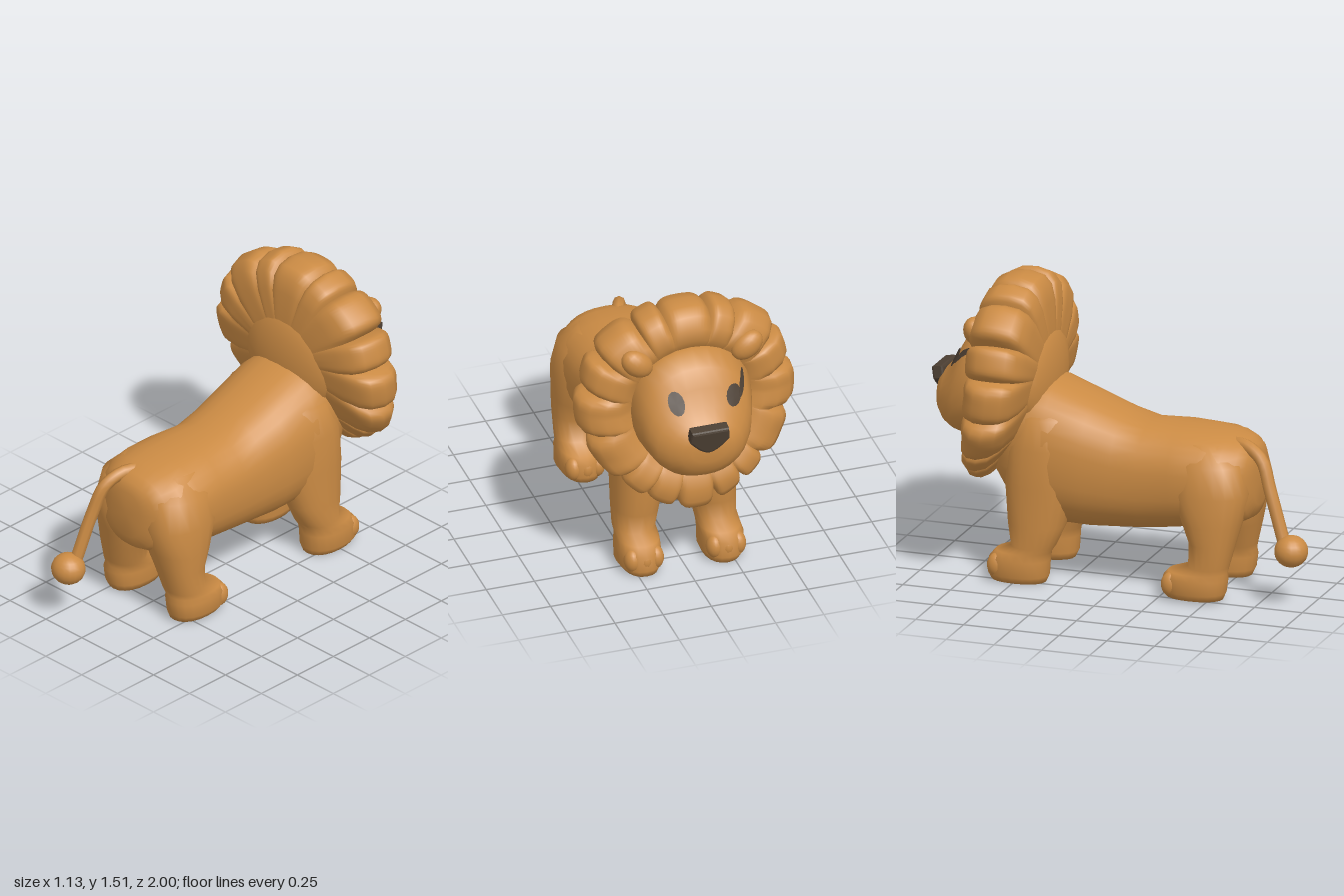
import * as THREE from 'three';

const fur = new THREE.MeshStandardMaterial({ color: 0xcb8b44 });
fur.name = 'fur';
const dark = new THREE.MeshStandardMaterial({ color: 0x4c3f33 });
dark.name = 'darkBrown';

function mesh(name, geometry, material = fur) {
  const m = new THREE.Mesh(geometry, material);
  m.name = name;
  return m;
}

function ellipsoid(name, position, scale) {
  const m = mesh(name, new THREE.SphereGeometry(1, 18, 12));
  m.position.set(...position);
  m.scale.set(...scale);
  return m;
}

function indexed(positions, index) {
  const g = new THREE.BufferGeometry();
  g.setAttribute('position', new THREE.Float32BufferAttribute(positions, 3));
  g.setIndex(index);
  g.computeVertexNormals();
  return g;
}

// Closed loft along z. Ring: [z, centreX, centreY, radiusX, radiusY]
function loft(rings, sides, power) {
  const pos = [], idx = [];
  const bend = (c) => Math.sign(c) * Math.abs(c) ** (2 / power);
  for (const [z, cx, cy, rx, ry] of rings)
    for (let j = 0; j < sides; j++) {
      const a = (j / sides) * Math.PI * 2;
      pos.push(cx + rx * bend(Math.cos(a)), cy + ry * bend(Math.sin(a)), z);
    }
  const n = rings.length, first = n * sides;
  for (const r of [rings[0], rings[n - 1]]) pos.push(r[1], r[2], r[0]);
  for (let j = 0; j < sides; j++) {
    const k = (j + 1) % sides;
    for (let i = 0; i < n - 1; i++) {
      const a = i * sides + j, b = i * sides + k;
      idx.push(a, b, a + sides, b, b + sides, a + sides);
    }
    idx.push(first, k, j, first + 1, (n - 1) * sides + j, (n - 1) * sides + k);
  }
  return indexed(pos, idx);
}

// Profile rows [z, halfWidth, top, bottom] turned into loft rings
const spine = (rows) => rows.map(([z, w, t, b]) => [z, 0, (t + b) / 2, w, (t - b) / 2]);

// Leg rows: [y, x, radiusX, z, radiusZ]
const HIND = [
  [0.015, 0.21, 0.09, 0.425, 0.145], [0.05, 0.215, 0.11, 0.425, 0.16], [0.12, 0.215, 0.11, 0.43, 0.165],
  [0.15, 0.21, 0.105, 0.44, 0.15], [0.18, 0.205, 0.105, 0.495, 0.1], [0.3, 0.19, 0.125, 0.51, 0.115],
  [0.4, 0.17, 0.15, 0.5, 0.15], [0.55, 0.165, 0.155, 0.49, 0.195], [0.7, 0.145, 0.145, 0.48, 0.175], [0.79, 0.1, 0.1, 0.45, 0.11]];
const FORE = [
  [0.005, 0.21, 0.09, -0.495, 0.14], [0.04, 0.215, 0.11, -0.495, 0.155], [0.12, 0.215, 0.11, -0.49, 0.155],
  [0.16, 0.21, 0.105, -0.47, 0.14], [0.19, 0.21, 0.105, -0.42, 0.11], [0.3, 0.2, 0.115, -0.405, 0.145],
  [0.5, 0.18, 0.135, -0.39, 0.18], [0.7, 0.17, 0.145, -0.38, 0.18], [0.85, 0.15, 0.13, -0.37, 0.14], [0.93, 0.1, 0.08, -0.36, 0.09]];

function leg(name, rows, side) {
  const g = new THREE.Group();
  g.name = name;
  g.add(mesh('limb', loft(rows.map(([y, x, rx, z, rz]) => [y, side * x, -z, rx, rz]), 20, 2.25).rotateX(-Math.PI / 2)));
  // Toes along the front of the paw
  const front = rows[2][3] - rows[2][4];
  for (let i = -1; i <= 1; i++)
    g.add(ellipsoid('toe', [side * 0.213 + i * 0.06, 0.085, front + 0.045 + Math.abs(i) * 0.01], [0.042, 0.062, 0.05]));
  return g;
}

// Piecewise linear lookup through [key, value] pairs with rising keys
function lerpTable(table, x) {
  const i = Math.max(1, table.findIndex(([key], n) => x <= key || n === table.length - 1));
  const [a, b] = [table[i - 1], table[i]];
  return a[1] + (b[1] - a[1]) * THREE.MathUtils.clamp((x - a[0]) / (b[0] - a[0]), 0, 1);
}

// Mane: scalloped lobes fanned around the head, leaning forward at the bottom
const BACK = [[0.44, -0.7], [0.55, -0.62], [0.65, -0.56], [0.74, -0.49], [0.9, -0.43], [1.1, -0.395], [1.5, -0.395]];
const FRONT = [[0.44, -0.83], [0.6, -0.8], [0.75, -0.75], [1, -0.71], [1.5, -0.72]];
const PROFILE = [[0, 0], [0.25, 0], [0.5, 0.01], [0.75, 0.04], [0.9, 0.1], [0.97, 0.22], [1, 0.45],
  [0.99, 0.68], [0.94, 0.86], [0.84, 0.97], [0.72, 0.98], [0.6, 0.88], [0.48, 0.7]];
// Left half, each lobe [start angle, end angle, start radius, end radius]
const LOBES = [[59, 76, 0.525, 0.53], [32, 59, 0.58, 0.535], [11, 32, 0.545, 0.57], [-15, 11, 0.56, 0.57],
  [-44, -15, 0.54, 0.555], [-61, -44, 0.53, 0.52], [-79, -61, 0.545, 0.525]];

function maneLobe(start, end, startRadius, endRadius) {
  const pos = [], idx = [], U = 14, V = PROFILE.length;
  for (let i = 0; i <= U; i++) {
    const t = i / U;
    const puff = 1 - Math.abs(t * 2 - 1) ** 5;
    const a = THREE.MathUtils.degToRad(start + (end - start) * t);
    const R = 0.485 + (startRadius + (endRadius - startRadius) * t - 0.485) * puff;
    for (const [f, d] of PROFILE) {
      const r = f * (0.5 + (R - 0.5) * f ** 4);
      const y = 1 + r * Math.sin(a);
      const depth = 0.5 + (d - 0.5) * (1 - 0.2 * (1 - puff) * f ** 5);
      const zb = lerpTable(BACK, y), zf = lerpTable(FRONT, y);
      pos.push(r * Math.cos(a), y, zb + (zf - zb) * depth);
    }
  }
  for (let i = 0; i < U; i++)
    for (let j = 0; j < V - 1; j++) {
      const a = i * V + j, b = a + V;
      idx.push(a, a + 1, b, b, a + 1, b + 1);
    }
  return mesh('maneLobe', indexed(pos, idx));
}

// Thin painted patch laid onto the face
function facePatch(name, head, x, y, rx, ry, tilt) {
  const g = new THREE.CircleGeometry(1, 14).scale(rx, ry, 1).rotateZ(tilt).rotateY(Math.PI).translate(x, y, 0);
  const p = g.attributes.position, ray = new THREE.Raycaster();
  for (let i = 0; i < p.count; i++) {
    ray.set(new THREE.Vector3(p.getX(i), p.getY(i), -2), new THREE.Vector3(0, 0, 1));
    const hit = ray.intersectObject(head)[0];
    p.setZ(i, (hit ? hit.point.z : -0.8) - 0.009);
  }
  g.computeVertexNormals();
  return mesh(name, g, dark);
}

export function createModel() {
  const lion = new THREE.Group();
  lion.name = 'lion';

  // Body from chest to rump
  lion.add(mesh('body', loft(spine([
    [-0.68, 0.13, 0.88, 0.52], [-0.6, 0.22, 1.0, 0.42], [-0.5, 0.28, 1.03, 0.33], [-0.35, 0.31, 1.0, 0.28],
    [-0.15, 0.295, 0.925, 0.275], [0, 0.28, 0.87, 0.285], [0.13, 0.275, 0.835, 0.295], [0.3, 0.29, 0.84, 0.32],
    [0.45, 0.3, 0.83, 0.35], [0.56, 0.285, 0.815, 0.365], [0.63, 0.24, 0.79, 0.38], [0.67, 0.18, 0.76, 0.4],
    [0.693, 0.1, 0.71, 0.46]]), 32, 2.4)));

  for (const side of [1, -1]) {
    const word = side > 0 ? 'Left' : 'Right';
    lion.add(leg('hindLeg' + word, HIND, side), leg('frontLeg' + word, FORE, side));
  }

  // Head
  const head = mesh('head', loft(spine([
    [-0.97, 0.09, 0.94, 0.82], [-0.955, 0.14, 0.985, 0.765], [-0.92, 0.19, 1.02, 0.72], [-0.87, 0.235, 1.08, 0.69],
    [-0.83, 0.265, 1.16, 0.68], [-0.78, 0.285, 1.25, 0.675], [-0.7, 0.31, 1.32, 0.68], [-0.5, 0.3, 1.3, 0.72]]), 28, 2.15));
  lion.add(head);
  head.updateMatrixWorld();

  // Eyes and brow mark
  lion.add(facePatch('eyeLeft', head, 0.13, 1.11, 0.04, 0.056, 0.15));
  lion.add(facePatch('eyeRight', head, -0.17, 1.1, 0.042, 0.05, -0.15));
  lion.add(facePatch('browMark', head, -0.227, 1.13, 0.016, 0.056, -0.4));

  // Nose wedge, its front leaning back toward the bottom
  const outline = new THREE.Shape();
  outline.moveTo(-0.085, 1.0);
  outline.lineTo(-0.09, 0.955);
  outline.quadraticCurveTo(-0.04, 0.89, 0, 0.885);
  outline.quadraticCurveTo(0.04, 0.89, 0.09, 0.955);
  outline.lineTo(0.085, 1.0);
  const nose = new THREE.ExtrudeGeometry(outline, { depth: 0.04, bevelThickness: 0.012, bevelSize: 0.012, bevelSegments: 2 });
  nose.translate(0, -1, 0).rotateX(-0.18).translate(0, 1, -0.986);
  lion.add(mesh('nose', nose, dark));

  // Ears
  for (const side of [1, -1]) {
    const ear = ellipsoid('ear', [side * 0.285, 1.285, -0.7], [0.09, 0.065, 0.055]);
    ear.rotation.z = side * 0.7;
    lion.add(ear);
  }

  // Mane with a smooth dome where it meets the neck
  const mane = new THREE.Group();
  mane.name = 'mane';
  mane.add(maneLobe(76, 104, 0.518, 0.518), maneLobe(-101, -79, 0.555, 0.555));
  for (const [a, b, r, s] of LOBES) mane.add(maneLobe(a, b, r, s), maneLobe(180 - b, 180 - a, s, r));
  mane.add(ellipsoid('neckDome', [0, 1.01, -0.46], [0.3, 0.27, 0.105]));
  lion.add(mane);

  // Tail with tuft
  const path = new THREE.CatmullRomCurve3([[-0.03, 0.77, 0.54], [-0.07, 0.775, 0.64], [-0.105, 0.72, 0.735],
    [-0.135, 0.58, 0.79], [-0.165, 0.34, 0.87]].map((p) => new THREE.Vector3(...p)));
  lion.add(mesh('tail', new THREE.TubeGeometry(path, 18, 0.032, 8)));
  lion.add(ellipsoid('tailTuft', [-0.178, 0.292, 0.916], [0.087, 0.08, 0.084]));

  return lion;
}
